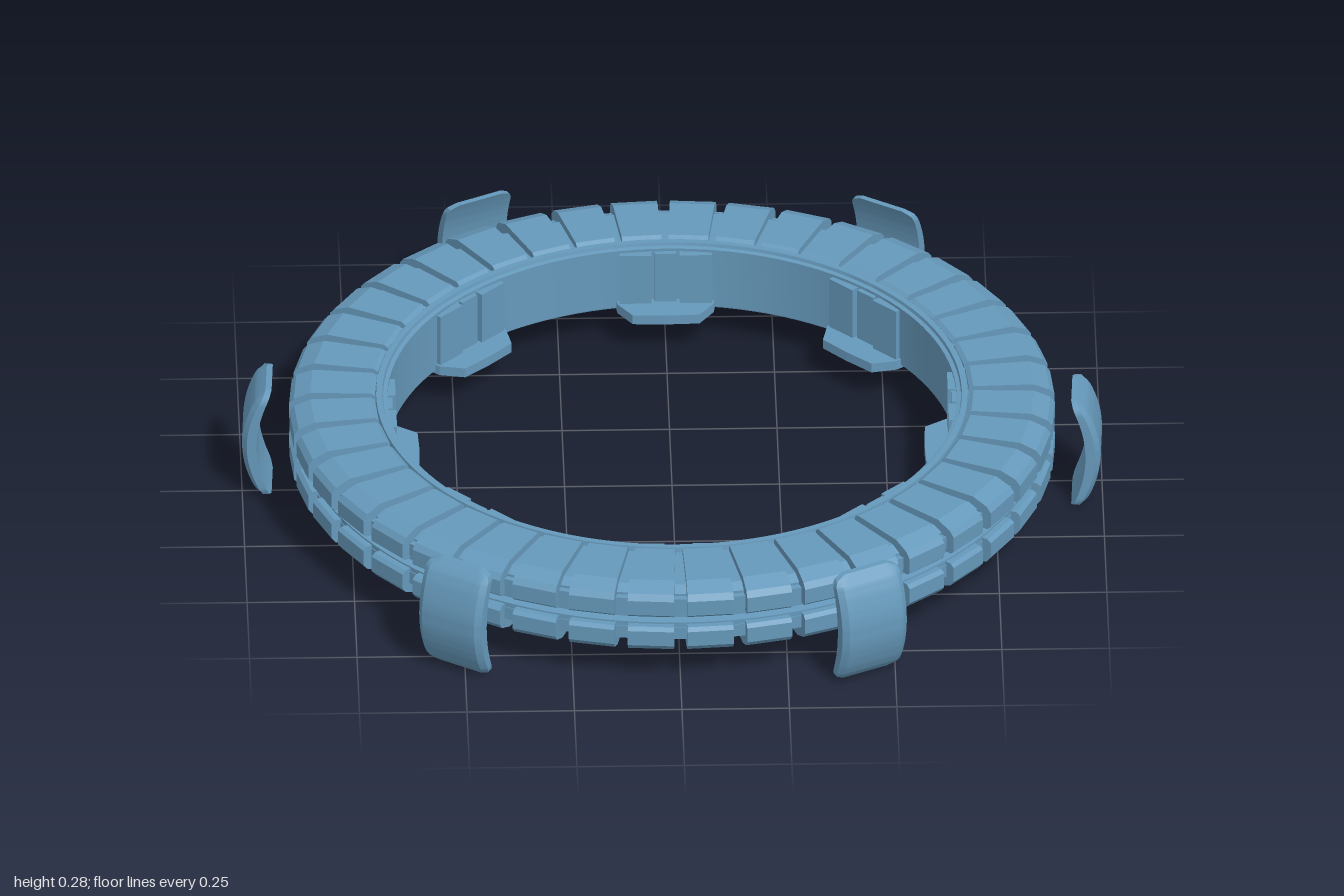
import * as THREE from 'three';
import { toCreasedNormals } from 'three/addons/utils/BufferGeometryUtils.js';

const MID = 0.165; // height of the ring's middle plane
const TEETH = 40;
const material = new THREE.MeshStandardMaterial({ color: 0x6699bb });

function shapeOf(points) {
  return new THREE.Shape(points.map(([x, y]) => new THREE.Vector2(x, y)));
}

// Moves every vertex of a geometry by a rule
function reshape(geometry, rule) {
  const p = geometry.attributes.position;
  const v = new THREE.Vector3();
  for (let i = 0; i < p.count; i++) {
    v.fromBufferAttribute(p, i);
    rule(v);
    p.setXYZ(i, v.x, v.y, v.z);
  }
  geometry.computeVertexNormals();
  return geometry;
}

// Repeats a part around the ring; the part is modelled pointing along +x
function around(parent, name, geometry, count, startDegrees, y = MID) {
  const group = new THREE.Group();
  group.name = name + 's';
  for (let i = 0; i < count; i++) {
    const mesh = new THREE.Mesh(geometry, material);
    mesh.name = name;
    mesh.position.y = y;
    mesh.rotation.y = -THREE.MathUtils.degToRad(startDegrees + (360 / count) * i);
    group.add(mesh);
  }
  parent.add(group);
}

// Ring body: inner wall with lips, recessed deck, groove around the outside
function coreGeometry() {
  const upper = [
    [0.845, 0], [0.845, 0.008], [0.866, 0.010], [0.866, 0.024], [0.853, 0.03],
    [0.853, 0.06], [0.83, 0.072], [0.69, 0.074], [0.688, 0.086], [0.674, 0.086],
    [0.672, 0.078], [0.662, 0.076], [0.662, 0],
  ];
  const lower = upper.slice(1, -1).reverse().map(([r, y]) => [r, -y]);
  const loop = [...upper, ...lower, upper[0]].map(([r, y]) => new THREE.Vector2(r, y));
  return toCreasedNormals(new THREE.LatheGeometry(loop, 120), 0.4);
}

// One tread block, bevelled on its outer edge and wider towards the outside
function toothGeometry(sign) {
  const profile = [
    [0.69, 0.03], [0.69, 0.083], [0.70, 0.09], [0.84, 0.09], [0.878, 0.074],
    [0.889, 0.06], [0.889, 0.022], [0.88, 0.014], [0.84, 0.014],
  ];
  const geometry = new THREE.ExtrudeGeometry(
    shapeOf(profile.map(([r, y]) => [r, y * sign])), { depth: 1, bevelEnabled: false });
  return reshape(geometry, (v) => {
    const width = THREE.MathUtils.mapLinear(v.x, 0.69, 0.889, 0.092, 0.108);
    v.z = (v.z - 0.5) * width;
  });
}

// Curved outer pad: a rounded rectangle bowed outwards in height
function padGeometry() {
  const halfW = 0.085, halfH = 0.14, corner = 0.028;
  const geometry = new THREE.BoxGeometry(1, 2 * halfH, 2 * halfW, 1, 28, 12);
  reshape(geometry, (v) => {
    const outer = v.x > 0;
    const t = v.y / halfH, s = v.z / halfW;
    const over = Math.max(0, Math.abs(v.y) - halfH + corner);
    const half = halfW - corner + Math.sqrt(Math.max(0, corner * corner - over * over));
    const edge = Math.max(Math.abs(s), Math.abs(t));
    const chamfer = 0.012 * THREE.MathUtils.clamp((edge - 0.82) / 0.18, 0, 1);
    v.x = outer ? 0.999 - 0.043 * t * t - chamfer : 0.964 - 0.034 * t * t;
    v.z = s * half;
  });
  return toCreasedNormals(geometry, 0.5);
}

// Flat trapezoid foot on the inner wall
function tabGeometry() {
  const outline = shapeOf([
    [0.67, -0.116], [0.64, -0.112], [0.59, -0.078], [0.587, 0],
    [0.59, 0.078], [0.64, 0.112], [0.67, 0.116],
  ]);
  const geometry = new THREE.ExtrudeGeometry(outline, { depth: 0.024, bevelEnabled: false });
  return geometry.rotateX(Math.PI / 2);
}

export function createModel() {
  const model = new THREE.Group();
  model.name = 'treadRing';

  const core = new THREE.Mesh(coreGeometry(), material);
  core.name = 'ringBody';
  core.position.y = MID;
  model.add(core);

  // Two mirrored rows of tread blocks
  const pitch = 360 / TEETH;
  around(model, 'upperTread', toothGeometry(1), TEETH, pitch / 2);
  around(model, 'lowerTread', toothGeometry(-1), TEETH, pitch / 2);

  // Small spacer blocks in the gaps between treads
  for (const sign of [1, -1]) {
    const spacer = new THREE.BoxGeometry(0.03, 0.032, 0.04).translate(0.853, sign * 0.038, 0);
    around(model, sign > 0 ? 'upperSpacer' : 'lowerSpacer', spacer, TEETH, 0);
  }

  // Inner feet with wall panels above them
  around(model, 'innerTab', tabGeometry(), 8, 0, 0.104);
  for (const [name, z, width, depth] of [
    ['leftPanel', -0.07, 0.075, 0.022],
    ['middlePanel', 0, 0.05, 0.014],
    ['rightPanel', 0.07, 0.075, 0.022],
  ]) {
    const panel = new THREE.BoxGeometry(depth, 0.13, width).translate(0.664 - depth / 2, 0.004, z);
    around(model, name, panel, 8, 0);
  }

  // Six free-standing outer pads
  around(model, 'outerPad', padGeometry(), 6, 2.8, 0.14);

  return model;
}
